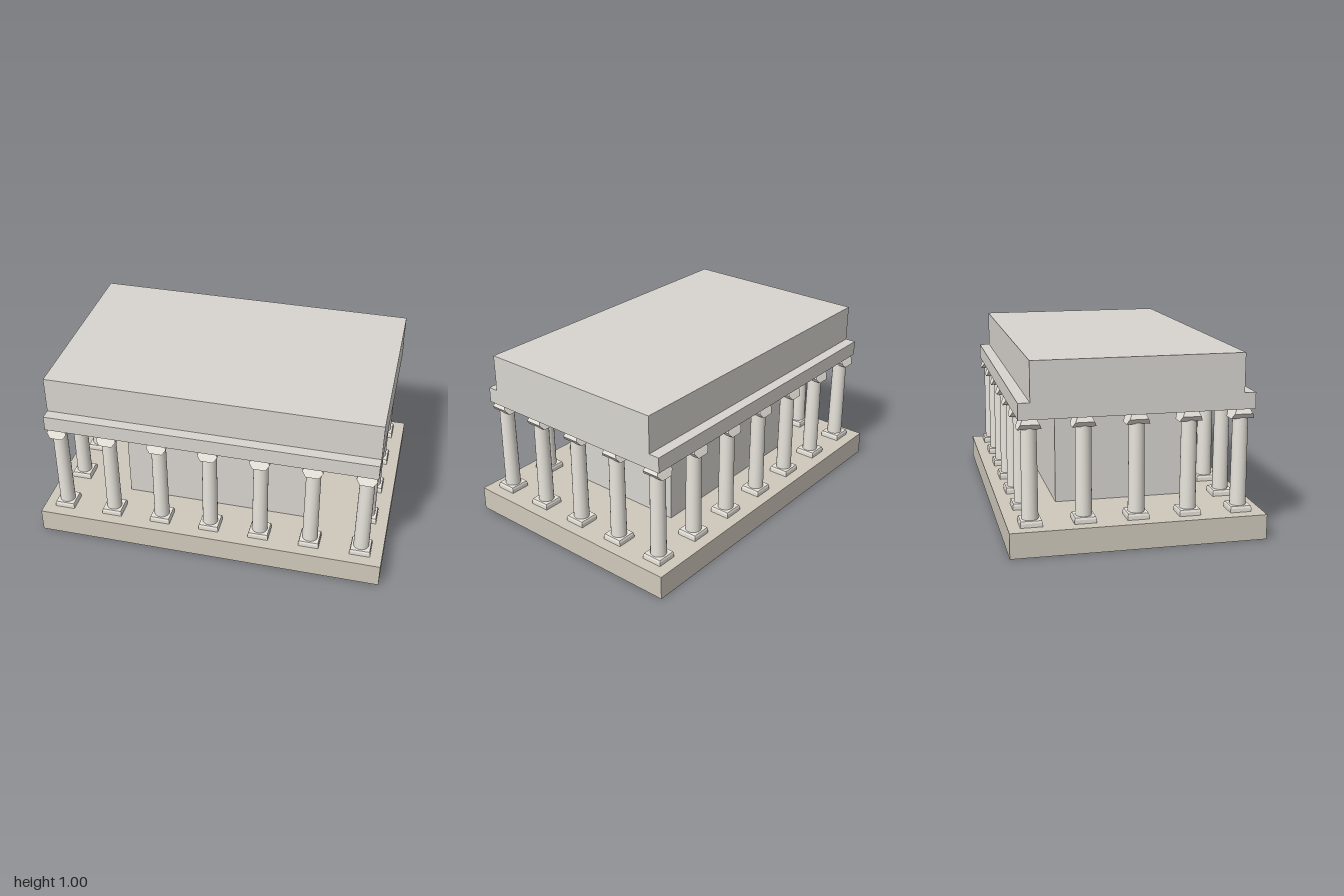
import * as THREE from 'three';

const stone = new THREE.MeshStandardMaterial({ color: 0xd8d5d0 });
const sand = new THREE.MeshStandardMaterial({ color: 0xd0c9bc });
const marble = new THREE.MeshStandardMaterial({ color: 0xe8e4dc });
const marbleFlat = new THREE.MeshStandardMaterial({ color: 0xe8e4dc, flatShading: true });

// Box given by its half widths and its bottom and top heights
function block(name, hx, hz, y0, y1, material) {
  const mesh = new THREE.Mesh(new THREE.BoxGeometry(2 * hx, y1 - y0, 2 * hz), material);
  mesh.position.y = (y0 + y1) / 2;
  mesh.name = name;
  return mesh;
}

// Closed solid through rectangular sections [y, halfX, halfZ], bottom to top
function loftRects(sections) {
  const pos = [], index = [];
  for (const [y, x, z] of sections) pos.push(-x, y, z, x, y, z, x, y, -z, -x, y, -z);
  for (let s = 0; s < sections.length - 1; s++) {
    for (let i = 0; i < 4; i++) {
      const a = s * 4 + i, b = s * 4 + (i + 1) % 4;
      index.push(a, b, b + 4, a, b + 4, a + 4);
    }
  }
  const t = (sections.length - 1) * 4;
  index.push(0, 2, 1, 0, 3, 2, t, t + 1, t + 2, t, t + 2, t + 3);
  const geometry = new THREE.BufferGeometry();
  geometry.setAttribute('position', new THREE.Float32BufferAttribute(pos, 3));
  geometry.setIndex(index);
  const flat = geometry.toNonIndexed();
  flat.computeVertexNormals();
  return flat;
}

export function createModel() {
  const model = new THREE.Group();
  model.name = 'temple';

  // Platform, inner chamber, entablature and attic
  model.add(
    block('platform', 1, 0.687, 0, 0.137, sand),
    block('innerChamber', 0.545, 0.374, 0.137, 0.702, stone),
    block('entablature', 0.936, 0.625, 0.702, 0.79, stone),
    block('attic', 0.936, 0.563, 0.79, 1.002, stone)
  );

  // Shared column geometry
  const plinthGeo = loftRects([[0.137, 0.058, 0.058], [0.158, 0.058, 0.058], [0.17, 0.054, 0.054]]);
  const shaftGeo = new THREE.CylinderGeometry(0.041, 0.044, 0.53, 24);
  shaftGeo.translate(0, 0.425, 0);
  const capitalGeo = loftRects([[0.647, 0.036, 0.063], [0.675, 0.057, 0.05], [0.702, 0.045, 0.037]]);

  function column(x, z) {
    const group = new THREE.Group();
    group.name = 'column';
    const parts = [['plinth', plinthGeo, marbleFlat], ['shaft', shaftGeo, marble], ['capital', capitalGeo, marbleFlat]];
    for (const [name, geometry, material] of parts) {
      const mesh = new THREE.Mesh(geometry, material);
      mesh.name = name;
      group.add(mesh);
    }
    group.position.set(x, 0, z);
    return group;
  }

  // Colonnade: seven by five columns, outer ring only
  const colonnade = new THREE.Group();
  colonnade.name = 'colonnade';
  for (let i = -3; i <= 3; i++) {
    for (let j = -2; j <= 2; j++) {
      if (Math.abs(i) === 3 || Math.abs(j) === 2) colonnade.add(column(i * 0.2917, j * 0.282));
    }
  }
  model.add(colonnade);
  return model;
}
